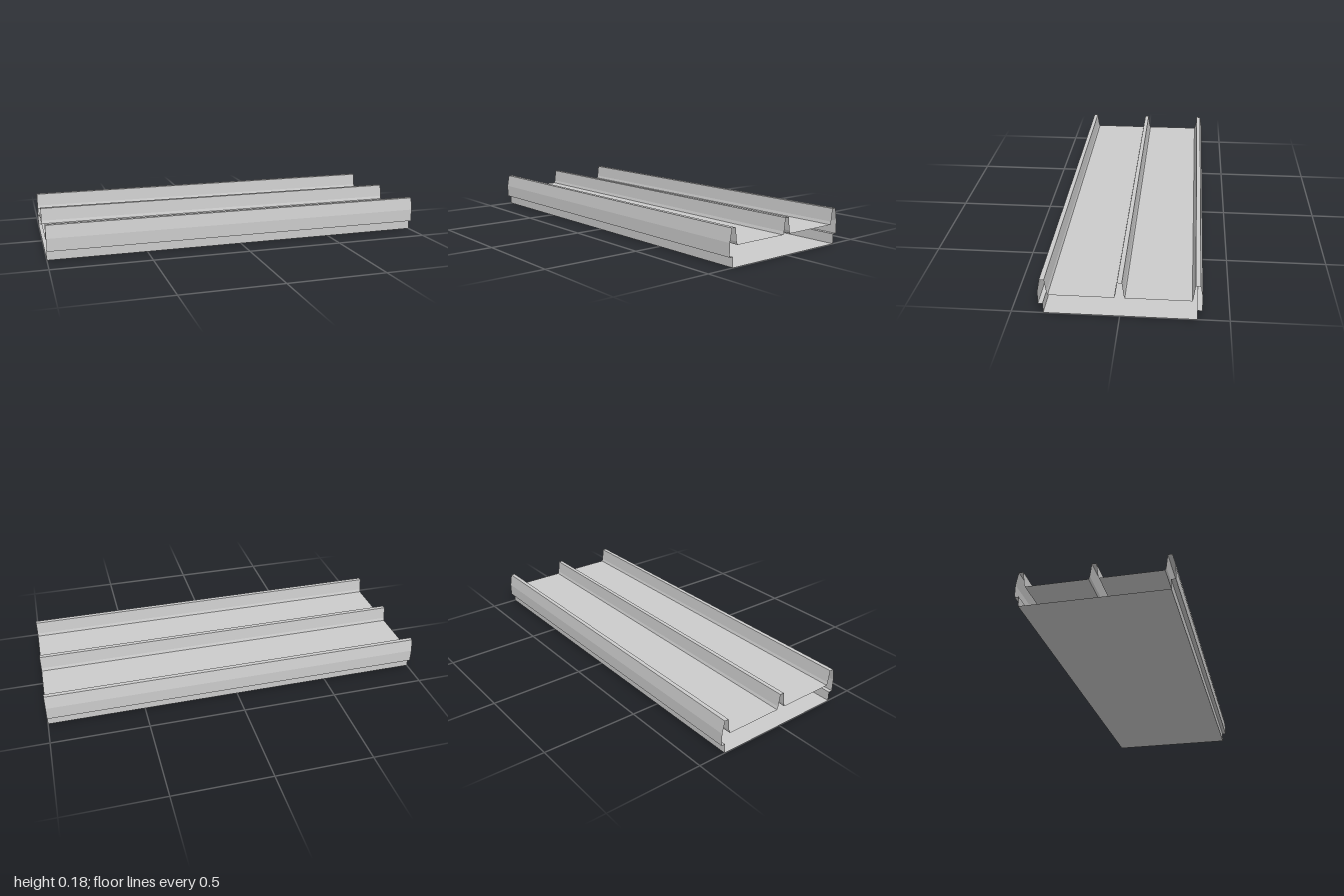
import * as THREE from 'three';

const LENGTH = 2;
const PITCH = 0.35; // spacing of the ribs

// Sweep an open [z, y] profile along x as a folded sheet with open ends.
function foldedSheet(name, profile, material) {
  const positions = [];
  for (let i = 0; i < profile.length - 1; i++) {
    const [z0, y0] = profile[i];
    const [z1, y1] = profile[i + 1];
    const a = [-LENGTH / 2, y0, z0], b = [LENGTH / 2, y0, z0];
    const c = [LENGTH / 2, y1, z1], d = [-LENGTH / 2, y1, z1];
    positions.push(...a, ...b, ...c, ...a, ...c, ...d);
  }
  const geometry = new THREE.BufferGeometry();
  geometry.setAttribute('position', new THREE.Float32BufferAttribute(positions, 3));
  geometry.computeVertexNormals();
  const mesh = new THREE.Mesh(geometry, material);
  mesh.name = name;
  return mesh;
}

export function createModel() {
  const group = new THREE.Group();
  group.name = 'ribbedPanel';
  const material = new THREE.MeshStandardMaterial({
    color: 0xcccccc, flatShading: true, side: THREE.DoubleSide,
  });

  // Half of a rib, from its foot on the sheet up to the crest
  const ribSide = [[0.024, 0.1], [0.019, 0.115], [0.011, 0.18]];
  const rising = (centre) => ribSide.map(([w, y]) => [centre + w, y]);
  const falling = (centre) => ribSide.map(([w, y]) => [centre - w, y]).reverse();

  // Outer wall: sloping edge of the end rib, upright face, then a step inward
  const outerWall = [[PITCH + 0.011, 0.18], [0.373, 0.115], [0.373, 0.05], [0.352, 0.05]];
  const frontWall = [...outerWall].reverse();
  const backWall = outerWall.map(([z, y]) => [-z, y]);

  // Ribbed top sheet, from the front wall over three ribs to the back wall
  const top = [
    ...frontWall, ...falling(PITCH),
    ...rising(0), ...falling(0),
    ...rising(-PITCH), ...backWall,
  ];
  group.add(foldedSheet('ribbedTopSheet', top, material));

  // Flat base tray with low upright sides
  const tray = [[-0.352, 0.05], [-0.352, 0], [0.352, 0], [0.352, 0.05]];
  group.add(foldedSheet('baseTray', tray, material));

  return group;
}
